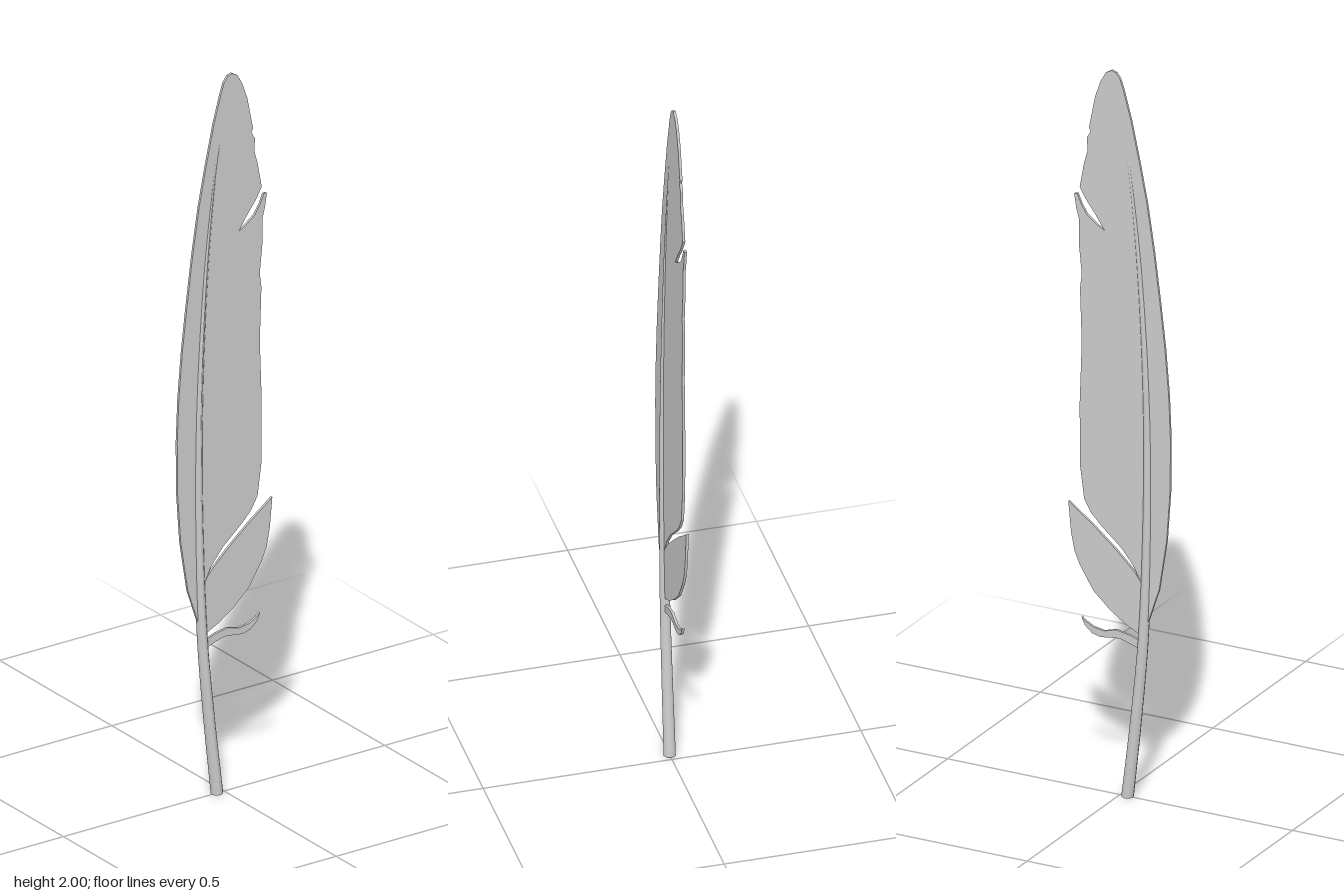
import * as THREE from 'three';

const THICKNESS = 0.007;
const material = new THREE.MeshStandardMaterial({ color: 0xcccccc, side: THREE.DoubleSide });

// Thin flat plate cut from an outline of [x, y] points
function plate(name, points) {
  const shape = new THREE.Shape(points.map(([x, y]) => new THREE.Vector2(x, y)));
  const geometry = new THREE.ExtrudeGeometry(shape, { depth: THICKNESS, bevelEnabled: false });
  geometry.translate(0, 0, -THICKNESS / 2);
  const mesh = new THREE.Mesh(geometry, material);
  mesh.name = name;
  return mesh;
}

// Quill centre line, from the cut base to the tip
const quill = new THREE.CatmullRomCurve3([
  [-0.022, 0], [-0.047, 0.22], [-0.068, 0.45], [-0.078, 0.7], [-0.08, 1.0],
  [-0.069, 1.3], [-0.045, 1.6], [-0.012, 1.83], [0.034, 1.985],
].map(([x, y]) => new THREE.Vector3(x, y, 0)));

function createShaft() {
  const rings = 64, sides = 12;
  const geometry = new THREE.TubeGeometry(quill, rings, 1, sides, false);
  const pos = geometry.attributes.position;
  const p = new THREE.Vector3();
  // Taper: shrink each ring towards the centre line
  for (let i = 0; i <= rings; i++) {
    const t = i / rings;
    const centre = quill.getPointAt(t);
    const radius = 0.0155 * Math.pow(1 - t, 0.65) + 0.0005;
    for (let j = 0; j <= sides; j++) {
      const k = i * (sides + 1) + j;
      p.fromBufferAttribute(pos, k).sub(centre).multiplyScalar(radius).add(centre);
      pos.setXYZ(k, p.x, Math.max(p.y, 0), p.z);
    }
  }
  geometry.computeVertexNormals();
  const shaft = new THREE.Mesh(geometry, material);
  shaft.name = 'shaft';

  // Flat cut end of the quill
  const end = new THREE.Mesh(new THREE.CircleGeometry(0.016, sides), material);
  end.rotation.x = Math.PI / 2;
  end.position.set(-0.022, 0.001, 0);
  end.name = 'shaftEnd';

  const group = new THREE.Group();
  group.name = 'quillShaft';
  group.add(shaft, end);
  return group;
}

export function createModel() {
  const model = new THREE.Group();
  model.name = 'feather';
  model.add(createShaft());

  // Main vane: narrow left edge, rounded tip, ragged right edge with splits
  model.add(plate('vane', [
    // left edge, going up
    [-0.072, 0.46], [-0.082, 0.49], [-0.115, 0.59], [-0.137, 0.73], [-0.147, 0.87],
    [-0.148, 1.01], [-0.143, 1.13], [-0.132, 1.26], [-0.118, 1.38], [-0.1, 1.52],
    [-0.08, 1.65], [-0.058, 1.76], [-0.034, 1.87], [-0.012, 1.95],
    // tip
    [-0.002, 1.98], [0.01, 1.996], [0.023, 2.0], [0.04, 1.99], [0.054, 1.965],
    // right edge, going down
    [0.07, 1.92], [0.08, 1.87], [0.088, 1.83], [0.083, 1.82], [0.094, 1.8],
    [0.092, 1.765], [0.102, 1.73], [0.115, 1.66],
    // upper split
    [0.098, 1.63], [0.068, 1.59], [0.043, 1.553], [0.065, 1.565], [0.094, 1.587],
    [0.11, 1.612], [0.122, 1.64], [0.131, 1.638], [0.125, 1.6], [0.117, 1.57],
    [0.117, 1.5], [0.109, 1.42], [0.114, 1.38], [0.109, 1.23], [0.115, 1.06],
    [0.114, 0.89], [0.102, 0.8], [0.082, 0.765], [0.053, 0.735], [-0.005, 0.685],
    // lower split
    [-0.04, 0.643], [-0.064, 0.598], [-0.045, 0.625], [0.01, 0.677], [0.08, 0.735],
    [0.115, 0.76], [0.148, 0.785], [0.14, 0.7], [0.13, 0.65], [0.115, 0.615],
    [0.075, 0.55], [0.025, 0.505], [-0.02, 0.475], [-0.06, 0.455],
  ]));

  // Loose curled barb below the vane
  model.add(plate('looseBarb', [
    [-0.068, 0.435], [-0.03, 0.448], [0.01, 0.455], [0.045, 0.445], [0.075, 0.45],
    [0.1, 0.463], [0.11, 0.472], [0.1, 0.45], [0.08, 0.433], [0.055, 0.426],
    [0.03, 0.43], [0, 0.433], [-0.03, 0.425], [-0.066, 0.412],
  ]));
  return model;
}
